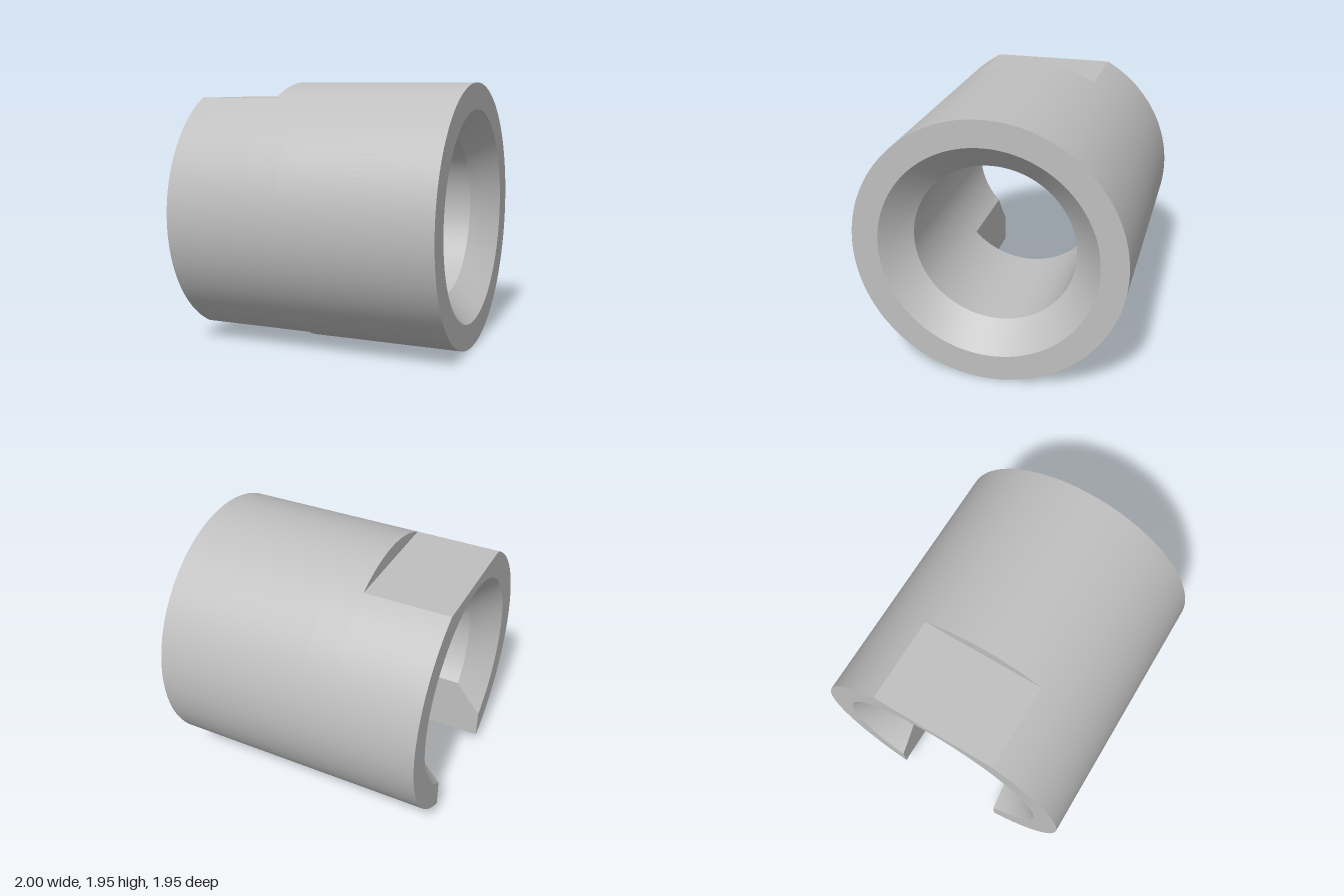
import * as THREE from 'three';
import { toCreasedNormals } from 'three/addons/utils/BufferGeometryUtils.js';

const R = 0.973;            // outer radius, also the height of the axis
const BORE = 0.587;         // bore radius
const CHAMFER = 0.195;      // countersink at both ends of the bore
const FLAT_Y = 0.859;       // height of the top flat above the axis
const FLAT_X = -0.375;      // where the flat ends
const SLOT_W = 0.43;        // half width of the bottom slot
const SLOT_X = -0.14;       // where the slot ends

const flatAngle = Math.acos(FLAT_Y / R);
const slotEdge = (r) => Math.PI - Math.asin(SLOT_W / r);
const boreRadius = (x) => BORE + Math.max(0, Math.abs(x) - (1 - CHAMFER));

const span = (a, b, n) => Array.from({ length: n + 1 }, (_, i) => a + ((b - a) * i) / n);

// Angles are measured from the top, around the x axis; sections stop at the slot edges.
const L = slotEdge(R);
const bodyAngles = [
  ...span(-L, -flatAngle, 50),
  ...span(-flatAngle, flatAngle, 28).slice(1),
  ...span(flatAngle, L, 50).slice(1),
];
const slotSteps = span(-1, 1, 24);

const at = (x, r, angle, top = Infinity) =>
  [x, R + Math.min(r * Math.cos(angle), top), r * Math.sin(angle)];
const bodyRow = (x, r, top) => bodyAngles.map((t) => at(x, r, (t * slotEdge(r)) / L, top));
const slotRow = (x, r) => slotSteps.map((s) => at(x, r, Math.PI + s * (Math.PI - slotEdge(r))));
const fullRow = (x, r) => [...bodyRow(x, r), ...slotRow(x, r).slice(1)];

// Joins two rows of points with triangles
function strip(a, b) {
  const out = [];
  for (let i = 0; i < a.length - 1; i++) {
    out.push(...a[i], ...b[i], ...b[i + 1], ...a[i], ...b[i + 1], ...a[i + 1]);
  }
  return out;
}

// Joins a sequence of rows
const loft = (rows) => rows.slice(1).flatMap((row, i) => strip(rows[i], row));

export function createModel() {
  const group = new THREE.Group();
  group.name = 'slottedSleeve';
  const grey = new THREE.MeshStandardMaterial({ color: 0xbfbfbf });
  grey.name = 'grey';

  const add = (name, ...parts) => {
    const geo = new THREE.BufferGeometry();
    geo.setAttribute('position', new THREE.Float32BufferAttribute(parts.flat(), 3));
    const mesh = new THREE.Mesh(toCreasedNormals(geo, 0.3), grey);
    mesh.name = name;
    group.add(mesh);
  };

  const slotted = [...span(-1, -1 + CHAMFER, 6), FLAT_X, SLOT_X];

  // Outer wall: full ring, slotted ring, then the part with the flat on top
  add('outerWall',
    loft([fullRow(1, R), fullRow(SLOT_X, R)]),
    loft([bodyRow(SLOT_X, R), bodyRow(FLAT_X, R)]),
    loft([bodyRow(FLAT_X, R, FLAT_Y), bodyRow(-1, R, FLAT_Y)]));

  // Bore with a countersink at each end
  add('bore',
    loft(slotted.map((x) => bodyRow(x, boreRadius(x)))),
    loft([SLOT_X, 1 - CHAMFER, 1].map((x) => fullRow(x, boreRadius(x)))));

  // Ring-shaped ends
  add('plainEnd', strip(fullRow(1, boreRadius(1)), fullRow(1, R)));
  add('slottedEnd', strip(bodyRow(-1, R, FLAT_Y), bodyRow(-1, boreRadius(-1))));

  // Step at the end of the flat
  const flatAngles = span(-flatAngle, flatAngle, 28);
  add('flatStep', strip(
    flatAngles.map((t) => at(FLAT_X, R, t)),
    flatAngles.map((t) => at(FLAT_X, R, t, FLAT_Y))));

  // Slot end and its two side walls
  add('slotEnd', strip(slotRow(SLOT_X, R), slotRow(SLOT_X, BORE)));
  const edge = (radius, side) => slotted.map((x) => at(x, radius(x), side * slotEdge(radius(x))));
  add('slotWallLeft', strip(edge(() => R, 1), edge(boreRadius, 1)));
  add('slotWallRight', strip(edge(boreRadius, -1), edge(() => R, -1)));

  return group;
}
